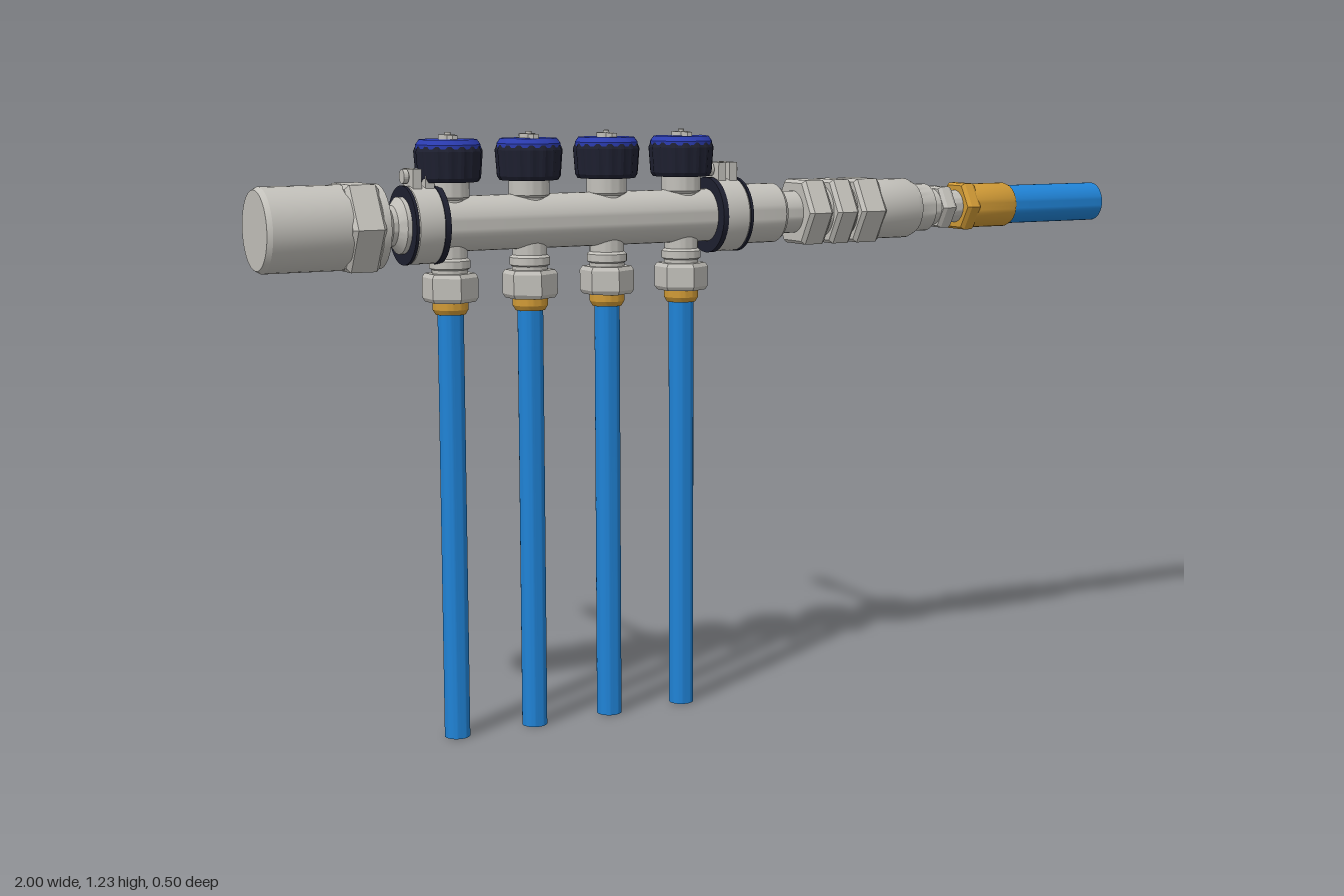
import * as THREE from 'three';
import { toCreasedNormals, mergeGeometries } from 'three/addons/utils/BufferGeometryUtils.js';

const mat = (name, color) => Object.assign(new THREE.MeshStandardMaterial({ color }), { name });

const AXIS_Y = 1.047, AXIS_Z = 0.153;

export function createModel() {
  const steel = mat('nickel steel', 0xc2c0ba);
  const thread = mat('thread grey', 0x8c8a86);
  const brass = mat('brass', 0xd09a36);
  const pipeBlue = mat('pipe blue', 0x2083d6);
  const dark = mat('dark navy plastic', 0x1e2030);
  const knobBlue = mat('knob blue', 0x2b3cb0);

  const model = new THREE.Group();
  model.name = 'manifold';

  // Turned part around y from [radius, y] pairs
  const turned = (points, sides = 40) => toCreasedNormals(
    new THREE.LatheGeometry(points.map(([r, y]) => new THREE.Vector2(r, y)), sides),
    sides < 12 ? 0.1 : 0.5);
  const rod = (a, b, r) => [[0, a], [r, a], [r, b], [0, b]];
  // Hexagon nut with chamfered ends, corners toward +z and -z
  const nut = (a, b, r) => {
    const c = Math.min(0.008, (b - a) * 0.25);
    return [[0, a], [r * 0.9, a], [r, a + c], [r, b - c], [r * 0.9, b], [0, b]];
  };
  const add = (parent, name, geometry, material) => {
    const mesh = new THREE.Mesh(geometry, material);
    mesh.name = name;
    parent.add(mesh);
    return mesh;
  };
  const alongX = g => g.rotateZ(-Math.PI / 2);

  // Everything on the main horizontal axis
  const line = new THREE.Group();
  line.name = 'mainLine';
  line.position.set(0, AXIS_Y, AXIS_Z);
  model.add(line);
  const onLine = (name, points, material = steel, sides = 40) =>
    add(line, name, alongX(turned(points, sides)), material);

  onLine('manifoldBar', rod(-0.64, 0, 0.055));
  onLine('endCap', [[0, -1], [0.077, -1], [0.083, -0.99], [0.083, -0.83], [0, -0.83]]);
  onLine('endCapNut', nut(-0.835, -0.767, 0.097), steel, 6);
  onLine('endCapNeck', [[0, -0.77], [0.083, -0.77], [0.083, -0.755], [0.055, -0.748],
    [0.04, -0.735], [0.04, -0.725], [0.056, -0.712], [0.056, -0.69], [0, -0.69]]);

  // Fittings to the right of the bar
  onLine('outletSleeve', [[0, 0.03], [0.063, 0.03], [0.063, 0.137], [0.057, 0.145], [0, 0.145]]);
  onLine('outletNeck', rod(0.14, 0.2, 0.045));
  onLine('unionNut', nut(0.19, 0.248, 0.079), steel, 6);
  onLine('unionSpacer', rod(0.24, 0.38, 0.056));
  onLine('middleNut', nut(0.26, 0.313, 0.079), steel, 6);
  onLine('bodyNut', nut(0.321, 0.385, 0.079), steel, 6);
  onLine('couplingBody', [[0, 0.37], [0.065, 0.37], [0.065, 0.475], [0.058, 0.49],
    [0.052, 0.492], [0.052, 0.53], [0.04, 0.535], [0.04, 0.56], [0, 0.56]]);
  onLine('smallNut', nut(0.552, 0.587, 0.052), steel, 6);
  onLine('smallNeck', rod(0.58, 0.62, 0.036));
  onLine('brassNut', nut(0.613, 0.648, 0.059), brass, 6);
  onLine('brassSleeve', [[0, 0.64], [0.049, 0.64], [0.049, 0.745], [0.046, 0.752], [0, 0.752]], brass);
  onLine('supplyPipe', rod(0.74, 1, 0.043), pipeBlue);

  // Two clamped valve bodies, each with a lug, bolt, stem and handle
  const addValve = (x, inner) => {
    const valve = new THREE.Group();
    valve.name = 'valve';
    valve.position.x = x;
    line.add(valve);
    add(valve, 'valveBody', alongX(turned([[0, -0.034], [0.07, -0.034], [0.077, -0.026],
      [0.077, 0.026], [0.07, 0.034], [0, 0.034]])), steel);
    add(valve, 'innerSeal', alongX(turned(rod(-0.006, 0.006, 0.079)))
      .translate(inner * 0.031, 0, 0), dark);
    add(valve, 'outerSeal', alongX(turned(rod(-0.003, 0.003, 0.078)))
      .translate(-inner * 0.032, 0, 0), dark);
    add(valve, 'clampLug', new THREE.BoxGeometry(0.018, 0.05, 0.054).translate(-0.012, 0.085, 0), steel);
    add(valve, 'clampLug', new THREE.BoxGeometry(0.018, 0.05, 0.054).translate(0.014, 0.085, 0), steel);
    add(valve, 'clampBolt', alongX(turned([[0, -0.034], [0.014, -0.034], [0.014, -0.024],
      [0.008, -0.024], [0.008, 0.025], [0.013, 0.025], [0.013, 0.032], [0, 0.032]], 20))
      .translate(0, 0.095, 0), steel);
    // Handle built along +y, then turned toward the back
    const handle = new THREE.Group();
    handle.name = 'handle';
    handle.rotation.x = -Math.PI / 2;
    valve.add(handle);
    add(handle, 'handleNut', turned(nut(0.07, 0.103, 0.027), 6), steel);
    const ridges = [[0, 0.1]];
    for (let i = 0; i < 15; i++) {
      const y = 0.1 + i * 0.0105;
      ridges.push([0.011, y], [0.0145, y + 0.005]);
    }
    ridges.push([0.011, 0.2575], [0, 0.2575]);
    add(handle, 'handleRod', toCreasedNormals(turned(ridges, 16), 0.5), thread);
    add(handle, 'handleGrip', turned([[0, 0.25], [0.009, 0.25], [0.01, 0.265], [0.017, 0.28],
      [0.0185, 0.29], [0.0185, 0.39], [0.016, 0.398], [0, 0.398]], 24), steel);
  };
  addValve(-0.668, 1);
  addValve(0.013, -1);

  // Fluted knob body: alternate pairs of columns are set back
  const sides = 64;
  const fluted = new THREE.LatheGeometry([[0, 1.13], [0.059, 1.13], [0.064, 1.138], [0.068, 1.19],
    [0.064, 1.2], [0, 1.2]].map(([r, y]) => new THREE.Vector2(r, y)), sides);
  const pos = fluted.attributes.position;
  for (let i = 0; i < pos.count; i++) {
    const column = Math.floor(i / 6) % sides;
    const k = Math.floor(column / 2) % 2 ? 0.965 : 1;
    pos.setX(i, pos.getX(i) * k);
    pos.setZ(i, pos.getZ(i) * k);
  }
  const knobBody = toCreasedNormals(fluted, 0.3);
  const knobTop = turned([[0, 1.195], [0.064, 1.195], [0.064, 1.203], [0.057, 1.213], [0, 1.213]]);

  // Dial marks: two arcs at the front, a hub and a pointer
  const arc = start => new THREE.RingGeometry(0.038, 0.044, 10, 1, start, 0.6)
    .rotateX(-Math.PI / 2).translate(0, 1.2145, 0);
  const marks = mergeGeometries([arc(Math.PI + 0.35), arc(-0.95)]);
  const hub = turned(rod(1.212, 1.222, 0.017), 24).translate(0, 0, -0.006);
  const pointer = new THREE.BoxGeometry(0.011, 0.009, 0.042).translate(0, 1.217, 0.016);
  const pin = turned(rod(1.22, 1.227, 0.006), 16);

  // Shared outlet geometry
  const neck = turned([[0, 1.06], [0.034, 1.06], [0.034, 1.095], [0.041, 1.1], [0.041, 1.133], [0, 1.133]]);
  const lowerNeck = turned([[0, 0.94], [0.036, 0.94], [0.036, 0.957], [0.041, 0.96], [0.041, 0.975],
    [0.035, 0.98], [0.035, 1.03], [0, 1.03]]);
  const lowerNut = turned(nut(0.893, 0.95, 0.056), 6);
  const brassRing = turned([[0, 0.868], [0.03, 0.868], [0.036, 0.878], [0.036, 0.897], [0, 0.897]]);
  const dropPipe = turned(rod(0, 0.88, 0.026));

  for (let i = 0; i < 4; i++) {
    const outlet = new THREE.Group();
    outlet.name = 'outlet';
    outlet.position.set(-0.604 + i * 0.1737, 0, AXIS_Z);
    model.add(outlet);
    add(outlet, 'dropPipe', dropPipe, pipeBlue);
    add(outlet, 'brassRing', brassRing, brass);
    add(outlet, 'compressionNut', lowerNut, steel);
    add(outlet, 'lowerNeck', lowerNeck, steel);
    add(outlet, 'upperNeck', neck, steel);
    add(outlet, 'knobBody', knobBody, dark);
    add(outlet, 'knobTop', knobTop, knobBlue);
    add(outlet, 'dialMarks', marks, steel);
    add(outlet, 'dialHub', hub, steel);
    add(outlet, 'dialPointer', pointer, steel);
    add(outlet, 'dialPin', pin, steel);
  }
  return model;
}
